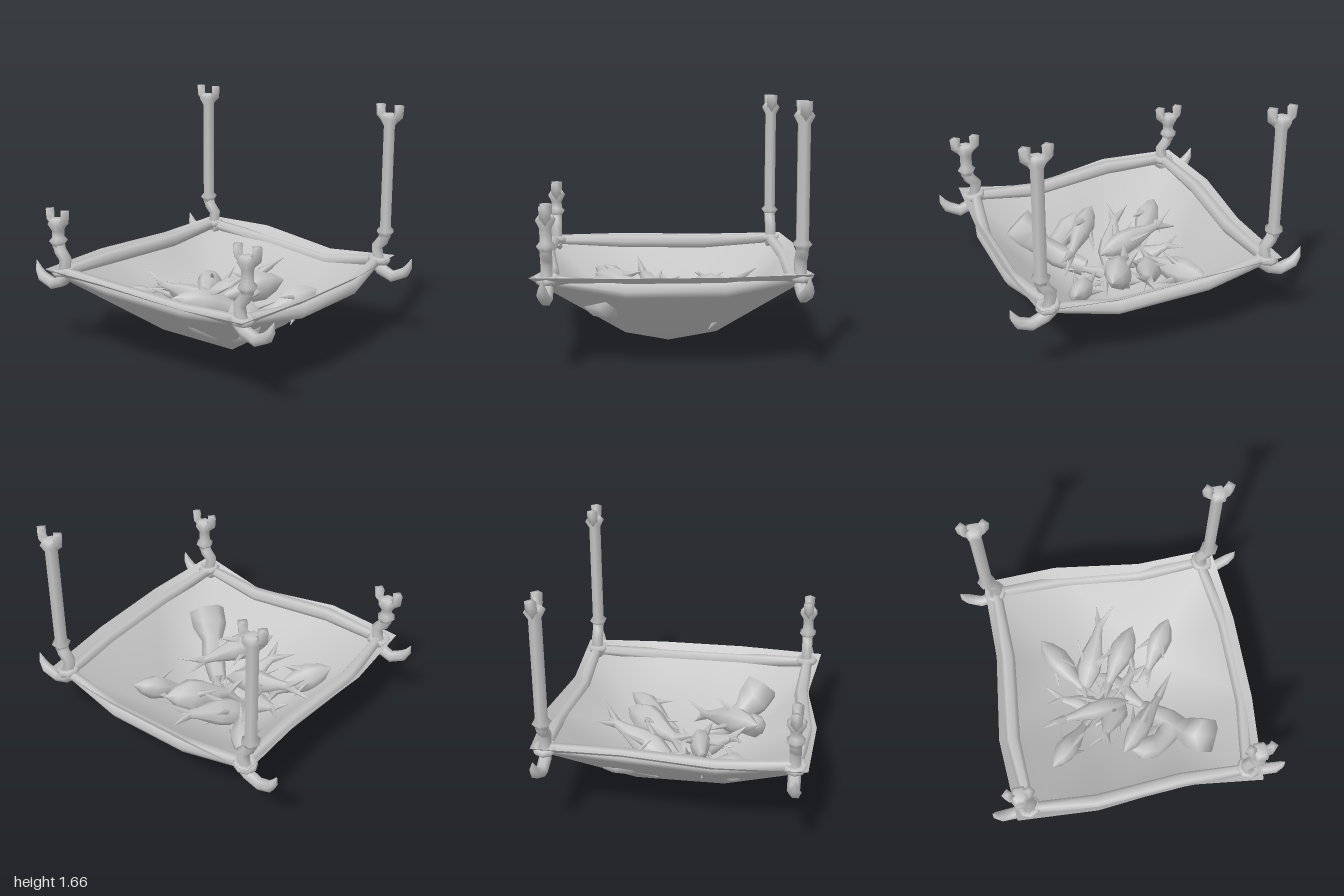
import * as THREE from 'three';

const V = (x, y, z) => new THREE.Vector3(x, y, z);
const grey = new THREE.MeshStandardMaterial({ color: 0xc4c4c4, side: THREE.DoubleSide });
grey.name = 'plain grey';

function add(parent, geometry, name) {
  const mesh = new THREE.Mesh(geometry, grey);
  mesh.name = name;
  parent.add(mesh);
  return mesh;
}

// rope whose rings sit on the given points, with a radius for each
function rope(points, radii, sides = 6) {
  const pos = [], index = [];
  const first = points[0], last = points[points.length - 1];
  const chord = last.clone().sub(first).normalize();
  const ref = Math.abs(chord.y) > 0.8 ? V(1, 0, 0) : V(0, 1, 0);
  points.forEach((p, i) => {
    const t = points[Math.min(i + 1, points.length - 1)].clone().sub(points[Math.max(i - 1, 0)]).normalize();
    const side = t.clone().cross(ref).normalize();
    const up = side.clone().cross(t);
    for (let k = 0; k < sides; k++) {
      const a = k / sides * Math.PI * 2;
      const q = p.clone().addScaledVector(side, Math.cos(a) * radii[i]).addScaledVector(up, Math.sin(a) * radii[i]);
      pos.push(q.x, q.y, q.z);
      if (i) {
        const n = (k + 1) % sides, b = i * sides, c = b - sides;
        index.push(c + k, b + n, b + k, c + k, c + n, b + n);
      }
    }
  });
  const g = new THREE.BufferGeometry();
  g.setAttribute('position', new THREE.Float32BufferAttribute(pos, 3));
  g.setIndex(index);
  g.computeVertexNormals();
  return g;
}

// sagging sheet: four by four points plus the low middle
function sheetGeometry() {
  const pos = [
    -0.87, 0.6, -0.84, -0.3, 0.605, -0.88, 0.3, 0.605, -0.81, 0.88, 0.61, -0.82,
    -0.9, 0.61, -0.3, -0.3, 0.13, -0.3, 0.3, 0.13, -0.3, 0.9, 0.615, -0.3,
    -0.82, 0.55, 0.3, -0.3, 0.13, 0.3, 0.3, 0.13, 0.3, 0.85, 0.555, 0.3,
    -0.89, 0.6, 0.83, -0.3, 0.6, 0.88, 0.3, 0.6, 0.88, 0.85, 0.605, 0.83,
    0, 0, 0];
  const index = [];
  for (let r = 0; r < 3; r++) for (let c = 0; c < 3; c++) {
    const a = r * 4 + c, b = a + 1, d = a + 4, e = a + 5;
    if (r === 1 && c === 1) index.push(a, 16, b, b, 16, e, e, 16, d, d, 16, a);
    else if ((r + c) % 4 === 0 || r + c === 1) index.push(a, d, e, a, e, b);
    else index.push(a, d, b, b, d, e);
  }
  const g = new THREE.BufferGeometry();
  g.setAttribute('position', new THREE.Float32BufferAttribute(pos, 3));
  g.setIndex(index);
  g.computeVertexNormals();
  return g;
}

// post standing on a corner, with a forked top, bent foot, ring and hook
function corner(x, z, top, name) {
  const g = new THREE.Group();
  g.name = name;
  const s = Math.sign(z);
  const profile = [[0.04, 0.74], [0.045, 0.765], [0.065, 0.79], [0.042, 0.815], [0.042, top - 0.14],
    [0.07, top - 0.09], [0.045, top - 0.06], [0, top - 0.06]].map(p => new THREE.Vector2(...p));
  add(g, new THREE.LatheGeometry(profile, 6), 'post').position.set(x, 0, z);

  for (const side of [-1, 1]) {
    const prong = [V(x, top - 0.105, z + side * 0.02), V(x, top - 0.065, z + side * 0.068),
      V(x, top - 0.001, z + side * 0.07), V(x, top, z + side * 0.07)];
    add(g, rope(prong, [0.035, 0.036, 0.038, 0.001], 4), 'forkProng');
  }

  const foot = [V(x, 0.77, z), V(x, 0.72, z - s * 0.015), V(x, 0.67, z - s * 0.06), V(x, 0.57, z - s * 0.045)];
  add(g, rope(foot, [0.042, 0.042, 0.042, 0.042]), 'bentFoot');

  const ring = add(g, new THREE.TorusGeometry(0.056, 0.026, 6, 8), 'ring');
  ring.position.set(x, 0.58, z - s * 0.04);
  ring.rotation.x = Math.PI / 2 + s * 0.15;

  const lean = Math.sign(x) * 0.015;
  const hook = [V(x, 0.57, s * 0.69), V(x, 0.51, s * 0.77), V(x, 0.475, s * 0.86),
    V(x + lean, 0.515, s * 0.945), V(x + lean, 0.56, s * 0.975), V(x + lean, 0.62, s * 0.995)];
  add(g, rope(hook, [0.035, 0.042, 0.041, 0.038, 0.026, 0.002]), 'hook');
  return g;
}

// fish from nose to tail, rolled about its length
function fish(nose, tail, width, roll) {
  const g = new THREE.Group();
  g.name = 'fish';
  const len = nose.distanceTo(tail);
  const profile = [[0.005, -0.36], [0.3, -0.27], [0.42, -0.16], [0.9, 0.06], [1, 0.22], [0.62, 0.38], [0.02, 0.5]]
    .map(([r, y]) => new THREE.Vector2(r * width, y * len));
  add(g, new THREE.LatheGeometry(profile, 7).scale(0.85, 1, 1.1), 'fishBody');

  // each fin tapers from a thick root to a point
  const fin = (root, tip, thick, name) =>
    add(g, rope([root, tip].map(([x, y, z]) => V(x * width, y * len, z * width)), [thick * width, 0.002], 4), name);
  fin([0, -0.26, 0.05], [0, -0.52, 1], 0.36, 'upperTailFin');
  fin([0, -0.26, -0.05], [0, -0.47, -0.85], 0.36, 'lowerTailFin');
  fin([0, 0.16, 0.7], [0, -0.04, 1.6], 0.4, 'backFin');
  for (const side of [-1, 1]) fin([side * 0.6, 0.14, -0.2], [side * 1.4, -0.06, -0.6], 0.25, 'sideFin');

  g.position.copy(nose).add(tail).multiplyScalar(0.5);
  g.quaternion.setFromUnitVectors(V(0, 1, 0), nose.clone().sub(tail).normalize());
  g.rotateY(roll);
  return g;
}

export function createModel() {
  const model = new THREE.Group();
  model.name = 'hangingNet';
  add(model, sheetGeometry(), 'netSheet');

  // ropes along the four rims
  const rims = {
    frontRope: [V(-0.76, 0.57, 0.74), V(-0.3, 0.515, 0.825), V(0.3, 0.515, 0.825), V(0.75, 0.57, 0.74)],
    backRope: [V(-0.76, 0.58, -0.75), V(-0.3, 0.56, -0.79), V(0.3, 0.56, -0.735), V(0.78, 0.58, -0.74)],
    leftRope: [V(0.8, 0.58, -0.75), V(0.835, 0.52, -0.3), V(0.8, 0.475, 0.3), V(0.78, 0.57, 0.74)],
    rightRope: [V(-0.79, 0.58, -0.75), V(-0.83, 0.57, -0.3), V(-0.775, 0.53, 0.3), V(-0.79, 0.57, 0.74)],
  };
  for (const [name, points] of Object.entries(rims)) add(model, rope(points, [0.035, 0.05, 0.05, 0.035]), name);

  // four corners, two short and two tall
  model.add(corner(-0.785, 0.79, 1.04, 'frontRightCorner'));
  model.add(corner(-0.785, -0.79, 1.0, 'backRightCorner'));
  model.add(corner(0.775, 0.79, 1.66, 'frontLeftCorner'));
  model.add(corner(0.8, -0.79, 1.64, 'backLeftCorner'));

  // pile of fish: nose, tail, half width, roll
  const catchOfFish = [
    [V(-0.5, 0.41, -0.55), V(-0.1, 0.22, -0.2), 0.09, 0.4],
    [V(-0.08, 0.3, 0.06), V(-0.19, 0.42, -0.56), 0.085, 0.3],
    [V(0.49, 0.3, -0.49), V(-0.05, 0.27, -0.17), 0.09, 1.2],
    [V(0.04, 0.24, -0.26), V(0.62, 0.45, 0.01), 0.09, 0.2],
    [V(0.44, 0.4, 0.18), V(-0.05, 0.29, -0.14), 0.105, 1.4],
    [V(-0.5, 0.46, -0.05), V(0.02, 0.3, 0.37), 0.09, 0.9],
    [V(0.46, 0.38, 0.45), V(0.05, 0.2, 0.18), 0.09, 0.5],
    [V(-0.08, 0.18, -0.1), V(0.04, 0.36, -0.51), 0.075, 1.0],
    [V(-0.02, 0.18, 0.02), V(-0.43, 0.48, -0.21), 0.085, 2.2],
    [V(0.2, 0.2, -0.15), V(-0.2, 0.2, 0.26), 0.08, 0.7],
    [V(-0.2, 0.2, -0.2), V(0.25, 0.23, 0.22), 0.08, 2.6],
  ];
  for (const f of catchOfFish) model.add(fish(...f));

  // flared stub and the rounded lump beside it
  const stub = [V(-0.12, 0.2, 0.16), V(-0.26, 0.26, 0.31), V(-0.35, 0.31, 0.39),
    V(-0.42, 0.37, 0.465), V(-0.48, 0.45, 0.54), V(-0.481, 0.451, 0.541)];
  add(model, rope(stub, [0.06, 0.085, 0.075, 0.125, 0.13, 0.001]), 'flaredStub');
  const lump = [V(-0.47, 0.4, 0.01), V(-0.47, 0.38, 0.07), V(-0.46, 0.34, 0.15), V(-0.41, 0.29, 0.24), V(-0.33, 0.27, 0.32)];
  add(model, rope(lump, [0.005, 0.07, 0.085, 0.07, 0.085], 8), 'roundedLump');
  return model;
}
